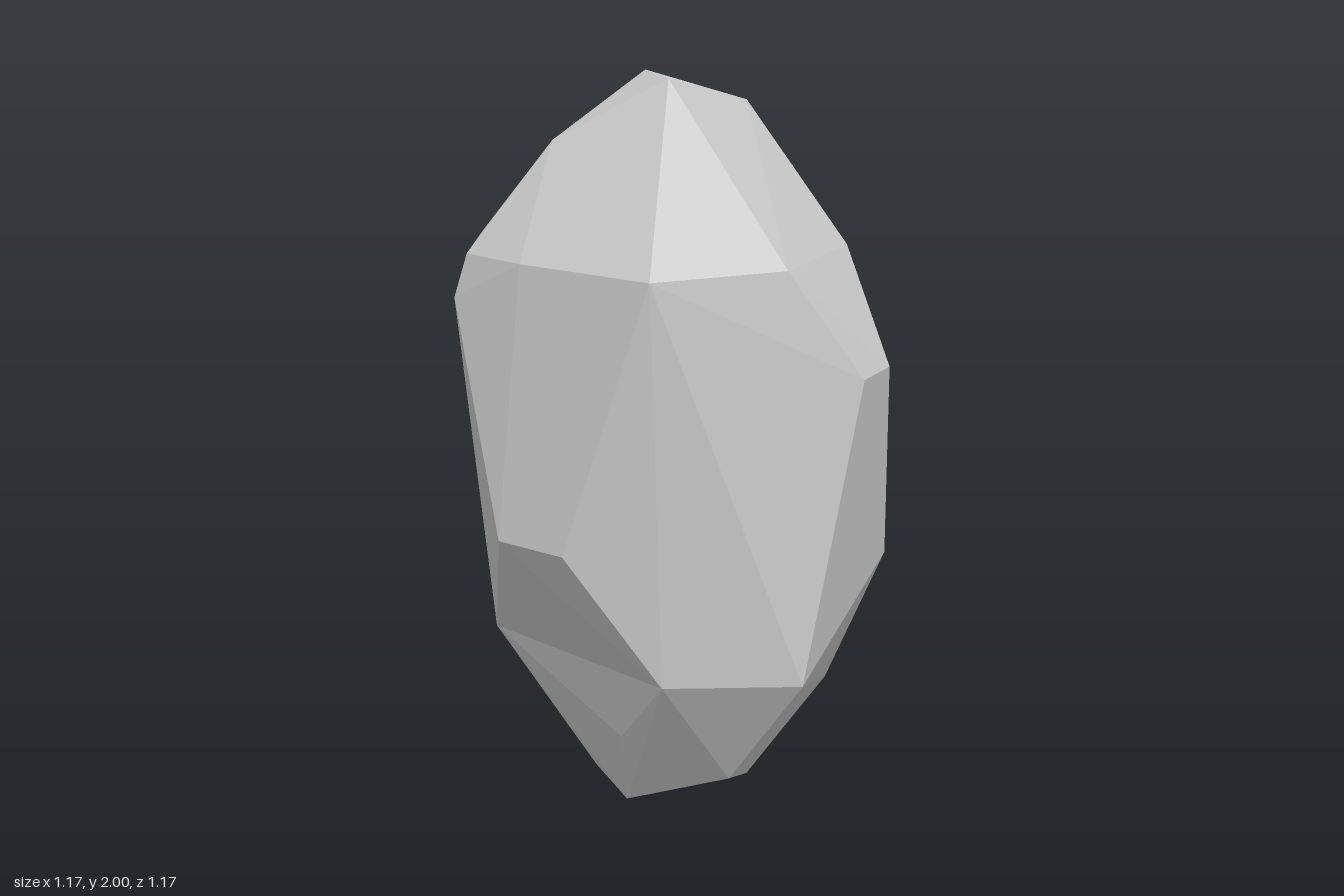
import * as THREE from 'three';
import { ConvexGeometry } from 'three/addons/geometries/ConvexGeometry.js';

// Corner points of the boulder, grouped by height
const crown = [
  [0.06, 2, 0.18], [-0.14, 2, -0.11], [0.12, 1.92, -0.21], [-0.27, 1.83, 0.2],
];
const shoulder = [
  [0.19, 1.53, 0.585], [0.43, 1.53, 0.26], [0.4, 1.53, -0.26], [0.19, 1.53, -0.585],
  [-0.28, 1.53, -0.43], [-0.49, 1.53, -0.15], [-0.44, 1.59, 0.28], [-0.47, 1.53, 0.32],
  [-0.25, 1.53, 0.435], [-0.505, 1.41, 0.33], [-0.41, 1.36, 0.37], [-0.51, 1.34, -0.29],
  [0.585, 1.23, 0.1], [0.585, 1.23, -0.1],
];
const belly = [
  [-0.06, 0.8, 0.585], [-0.285, 0.8, 0.51], [-0.59, 0.66, -0.07],
  [-0.26, 0.72, -0.37], [0.08, 0.69, -0.5],
];
// The waist belongs to both lumps, so the creases along it stay hollow
const waist = [
  [0.48, 0.42, 0.25], [0.17, 0.44, 0.47], [-0.48, 0.445, 0.17], [-0.37, 0.48, -0.24],
  [-0.23, 0.39, -0.33], [-0.04, 0.6, -0.48], [0.26, 0.44, -0.43],
  [0.44, 0.66, -0.41], [0.52, 0.66, -0.28],
];
const foot = [
  [-0.02, 0.23, 0.32], [0.35, 0.27, -0.27], [0.21, 0.27, -0.35], [-0.19, 0.15, -0.19],
  [0.24, 0.1, 0.18], [-0.19, 0.06, 0.13], [-0.18, 0.04, 0.07],
  [-0.06, 0, 0.2], [0.17, 0, -0.12],
];

export function createModel() {
  const group = new THREE.Group();
  group.name = 'boulder';
  const material = new THREE.MeshStandardMaterial({ color: 0xcccccc, flatShading: true });

  const addLump = (name, ...rings) => {
    const points = rings.flat().map((p) => new THREE.Vector3(...p));
    const mesh = new THREE.Mesh(new ConvexGeometry(points), material);
    mesh.name = name;
    group.add(mesh);
  };

  addLump('upperRock', crown, shoulder, belly, waist);
  addLump('lowerRock', waist, foot);
  return group;
}
